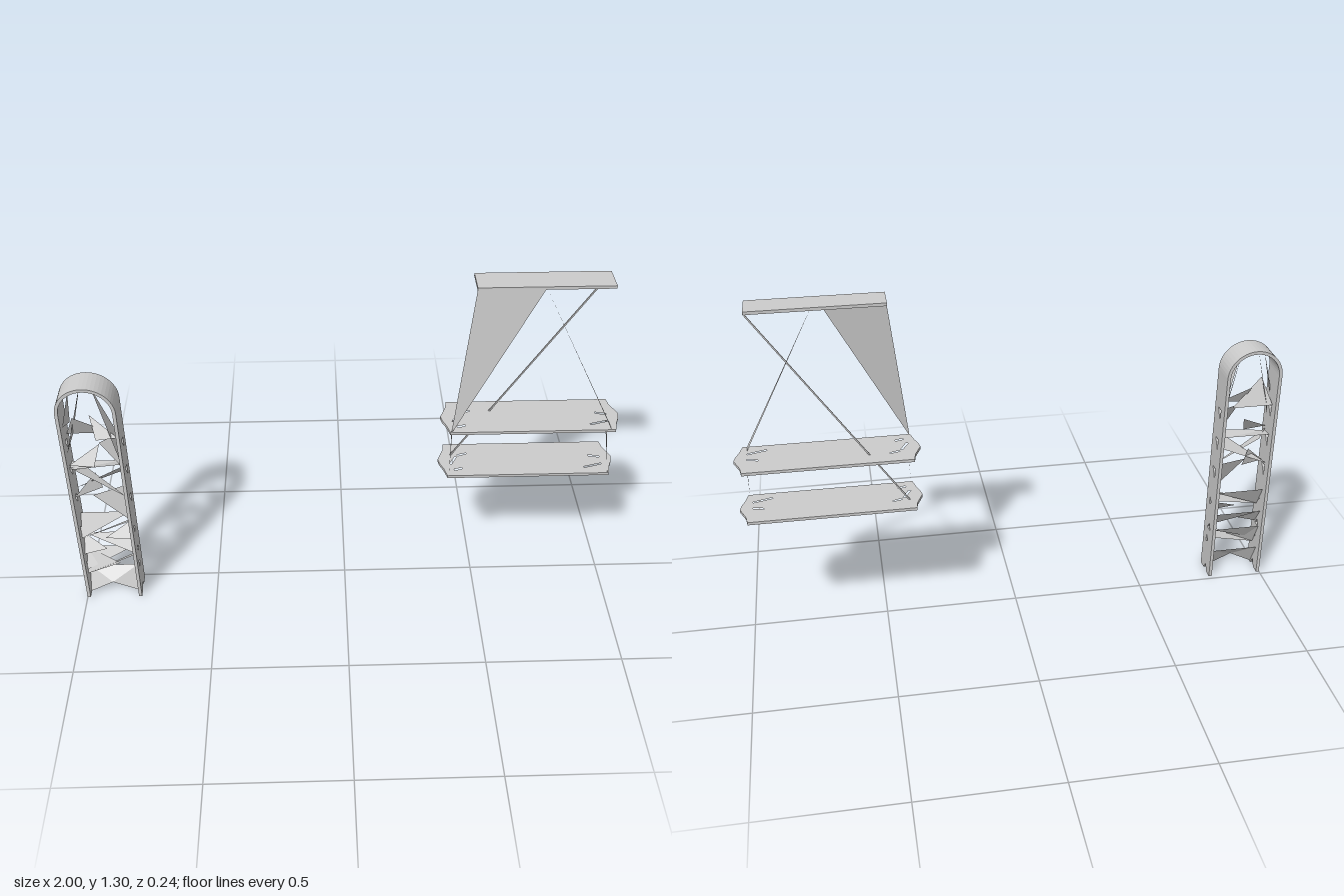
import * as THREE from 'three';

const solid = new THREE.MeshStandardMaterial({ color: 0xcccccc, flatShading: true });
const sheet = new THREE.MeshStandardMaterial({ color: 0xcccccc, flatShading: true, side: THREE.DoubleSide });

function add(parent, name, geometry, material = solid) {
  const mesh = new THREE.Mesh(geometry, material);
  mesh.name = name;
  parent.add(mesh);
  return mesh;
}

const polygon = (pts, Kind = THREE.Shape) => new Kind(pts.map(([x, y]) => new THREE.Vector2(x, y)));

// Flat sheet through three or four corners
function sheetGeometry(...corners) {
  const g = new THREE.BufferGeometry();
  g.setAttribute('position', new THREE.Float32BufferAttribute(corners.flat(), 3));
  g.setIndex(corners.length === 4 ? [0, 1, 2, 0, 2, 3] : [0, 1, 2]);
  g.computeVertexNormals();
  return g;
}

// Thin square rod between two points
function rod(parent, name, a, b, size) {
  const from = new THREE.Vector3(...a), to = new THREE.Vector3(...b);
  const dir = to.clone().sub(from);
  const mesh = add(parent, name, new THREE.BoxGeometry(size, dir.length(), size));
  mesh.position.copy(from).add(to).multiplyScalar(0.5);
  mesh.quaternion.setFromUnitVectors(new THREE.Vector3(0, 1, 0), dir.normalize());
}

function createTower() {
  const tower = new THREE.Group();
  tower.name = 'archedTower';
  const left = -1, right = -0.79, back = 0.015, front = 0.12, wall = 0.012;
  const cx = (left + right) / 2, r = (right - left) / 2, spring = 0.875;

  // Side walls, notched at the foot and pierced by small triangles
  for (const x of [left, right - wall]) {
    const shape = polygon([[-front, 0], [-0.085, 0], [-0.066, 0.03], [-0.05, 0], [-back, 0], [-back, spring], [-front, spring]]);
    for (const y of [0.73, 0.605, 0.475])
      shape.holes.push(polygon([[-0.085, y], [-0.055, y], [-0.055, y - 0.045]], THREE.Path));
    for (const y of [0.3, 0.125])
      shape.holes.push(polygon([[-0.085, y], [-0.085, y + 0.035], [-0.066, y + 0.015]], THREE.Path));
    shape.holes.push(polygon([[-0.085, 0.195], [-0.05, 0.195], [-0.066, 0.22]], THREE.Path));
    const g = new THREE.ExtrudeGeometry(shape, { depth: wall, bevelEnabled: false });
    g.rotateY(Math.PI / 2);
    add(tower, 'sideWall', g).position.x = x;
  }

  // Half-round cap
  const cap = new THREE.Shape();
  cap.absarc(cx, spring, r, 0, Math.PI, false);
  cap.absarc(cx, spring, r - wall, Math.PI, 0, true);
  const capMesh = add(tower, 'archCap', new THREE.ExtrudeGeometry(cap, { depth: front - back, bevelEnabled: false, curveSegments: 12 }));
  capMesh.position.z = back;

  // Angular panels between the walls: sloping folded sheets
  const L = left + wall, R = right - wall, zf = 0.09, zb = 0.045;
  const panels = [
    [[L, 0.005, zf], [L, 0.1, zb], [-0.9, 0.05, zf]],
    [[R, 0.005, zf], [R, 0.1, zb], [-0.9, 0.05, zf]],
    [[L, 0.1, zb], [R, 0.1, zb], [-0.9, 0.05, zf]],
    [[L, 0.1, zf], [L, 0.2, zb], [-0.86, 0.15, zf]],
    [[L, 0.2, zb], [R, 0.2, zb], [L, 0.12, zf]],
    [[L, 0.1, zf], [R, 0.19, zf], [R, 0.165, zb]],
    [[L, 0.2, zf], [L, 0.27, zb], [-0.9, 0.225, zf]],
    [[L, 0.27, zb], [R, 0.27, zb], [R, 0.2, zf]],
    [[L, 0.37, zb], [R, 0.37, zb], [L, 0.28, zf]],
    [[L, 0.28, zf], [R, 0.36, zf], [R, 0.335, zb]],
    [[R, 0.27, zf], [R, 0.33, zb], [-0.9, 0.28, zf]],
    [[-0.92, 0.49, zf], [R, 0.5, zb], [R, 0.37, zf]],
    [[L, 0.48, zf], [-0.91, 0.56, zb], [-0.89, 0.49, zb]],
    [[L, 0.62, zf], [-0.95, 0.6, zb], [R, 0.48, zf]],
    [[L, 0.49, zb], [R, 0.62, zf], [R, 0.57, zb]],
    [[L, 0.61, zf], [R, 0.63, zf], [R, 0.615, zb], [L, 0.615, zb]],
    [[L, 0.63, zf], [-0.88, 0.69, zb], [-0.9, 0.62, zf]],
    [[-0.87, 0.73, zf], [R, 0.74, zb], [R, 0.62, zf]],
    [[L, 0.74, zb], [-0.95, 0.84, zf], [-0.83, 0.74, zb]],
    [[-0.9, 0.82, zb], [R, 0.75, zf], [-0.88, 0.74, zf]],
    [[-0.95, 0.95, zf], [L, 0.8, zf], [-0.97, 0.79, zb]],
    [[-0.91, 0.97, zb], [L, 0.68, zf], [-0.965, 0.74, zb]],
    [[-0.87, 0.97, zf], [R, 0.63, zf], [R, 0.72, zb]],
    [[-0.84, 0.95, zb], [R, 0.87, zf], [R, 0.76, zb]],
  ];
  for (const corners of panels) add(tower, 'innerPanel', sheetGeometry(...corners), sheet);
  return tower;
}

function createShelves() {
  const unit = new THREE.Group();
  unit.name = 'hangingShelves';
  const cx = 0.673;

  // Two planks with pointed ends and small slots
  for (const y of [0.519, 0.717]) {
    const half = [[0.297, 0.12], [0.302, 0.085], [0.325, 0.03], [0.32, 0.005], [0.308, -0.025], [0.297, -0.068]];
    const mirrored = half.map(([x, v]) => [-x, v]).reverse();
    const plank = polygon([...half, ...mirrored]);
    const slots = [
      [[-0.285, 0.0], [-0.26, 0.045], [-0.253, 0.042], [-0.276, -0.002]],
      [[-0.25, 0.055], [-0.215, 0.065], [-0.215, 0.059], [-0.248, 0.048]],
      [[-0.27, -0.03], [-0.24, -0.022], [-0.24, -0.03], [-0.268, -0.038]],
      [[0.21, -0.03], [0.28, -0.01], [0.28, -0.016], [0.212, -0.036]],
      [[0.24, 0.04], [0.28, 0.03], [0.28, 0.024], [0.24, 0.033]],
    ];
    for (const s of slots) plank.holes.push(polygon(s, THREE.Path));
    const g = new THREE.ExtrudeGeometry(plank, { depth: 0.011, bevelEnabled: false });
    g.rotateX(-Math.PI / 2);
    add(unit, 'shelfPlank', g).position.set(cx, y, 0);
  }

  // Upper hanging bar
  add(unit, 'topBar', new THREE.BoxGeometry(0.465, 0.011, 0.1)).position.set(0.672, 1.29, -0.023);

  // Triangular front sheets
  add(unit, 'broadStay', sheetGeometry([0.44, 1.29, 0.027], [0.67, 1.29, 0.027], [0.378, 0.722, 0.068]), sheet);
  add(unit, 'narrowStay', sheetGeometry([0.67, 1.29, 0.027], [0.957, 0.722, 0.068], [0.957, 0.722, 0.03]), sheet);

  // Long diagonal cord at the back
  rod(unit, 'diagonalCord', [0.903, 1.288, -0.072], [0.395, 0.525, -0.057], 0.005);

  // Slanted links between the planks
  for (const [top, bottom] of [[0.395, 0.38], [0.955, 0.965]])
    add(unit, 'shelfLink', sheetGeometry([top, 0.718, -0.05], [top, 0.718, -0.02], [bottom, 0.528, 0.068]), sheet);
  return unit;
}

export function createModel() {
  const model = new THREE.Group();
  model.name = 'towerAndShelves';
  model.add(createTower(), createShelves());
  return model;
}
